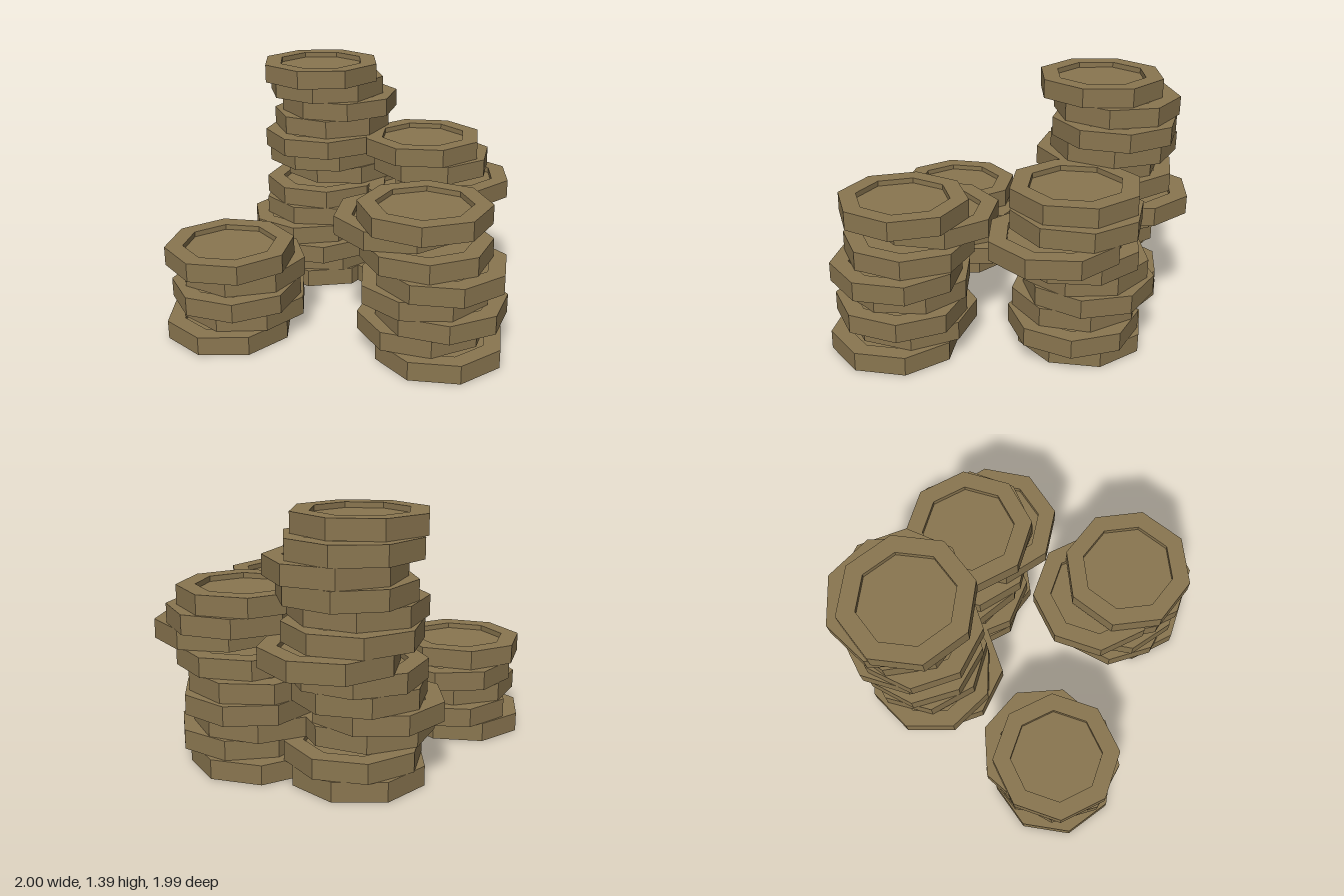
import * as THREE from 'three';

const R = 0.363;        // rim radius (to the corners)
const INNER = 0.262;    // radius of the sunken face
const PITCH = 0.1069;   // height of one layer
const THICK = 0.1062;   // coin thickness
const SINK = 0.03;      // depth of the sunken faces

// Each coin: [x, z, angle in degrees], listed from the bottom up.
const stacks = {
  backRightStack: [
    [-0.65, -0.47, 29], [-0.54, -0.45, 27], [-0.63, -0.427, 4],
    [-0.54, -0.46, 16], [-0.64, -0.455, -6],
  ],
  tallBackStack: [
    [0.36, -0.615, 21], [0.38, -0.605, -11], [0.25, -0.565, 0],
    [0.25, -0.64, 20], [0.34, -0.598, -10], [0.36, -0.603, 3],
    [0.546, -0.6, -12.7], [0.42, -0.635, -8], [0.343, -0.588, 1],
    [0.437, -0.6, 11], [0.47, -0.557, -1], [0.425, -0.632, 18],
    [0.335, -0.597, 27],
  ],
  leftStack: [
    [0.595, -0.09, -8], [0.607, 0, 11], [0.565, -0.08, -3],
    [0.64, -0.084, 16], [0.6, -0.09, 25], [0.605, 0, 33],
    [0.605, 0.2, 31.5], [0.637, 0.04, -4], [0.594, 0, 36.5],
  ],
  frontStack: [
    [-0.15, 0.638, -7], [-0.135, 0.515, 3], [-0.113, 0.625, 5],
    [-0.15, 0.53, 31], [-0.13, 0.635, -6], [-0.136, 0.531, 8],
    [-0.12, 0.335, -6], [-0.166, 0.536, 13],
  ],
};

// Eight-sided coin with a raised rim around a sunken face on both sides
function coinGeometry() {
  const profile = [
    [0, SINK], [INNER, SINK], [INNER, 0], [R, 0],
    [R, THICK], [INNER, THICK], [INNER, THICK - SINK], [0, THICK - SINK],
  ].map(([r, y]) => new THREE.Vector2(r, y));
  return new THREE.LatheGeometry(profile, 8);
}

export function createModel() {
  const model = new THREE.Group();
  model.name = 'coinStacks';
  const geometry = coinGeometry();
  const material = new THREE.MeshStandardMaterial({ color: 0x8a7650, flatShading: true });

  for (const [name, coins] of Object.entries(stacks)) {
    const stack = new THREE.Group();
    stack.name = name;
    coins.forEach(([x, z, angle], layer) => {
      const coin = new THREE.Mesh(geometry, material);
      coin.name = 'coin' + (layer + 1);
      coin.position.set(x, layer * PITCH, z);
      coin.rotation.y = -THREE.MathUtils.degToRad(angle);
      stack.add(coin);
    });
    model.add(stack);
  }
  return model;
}
